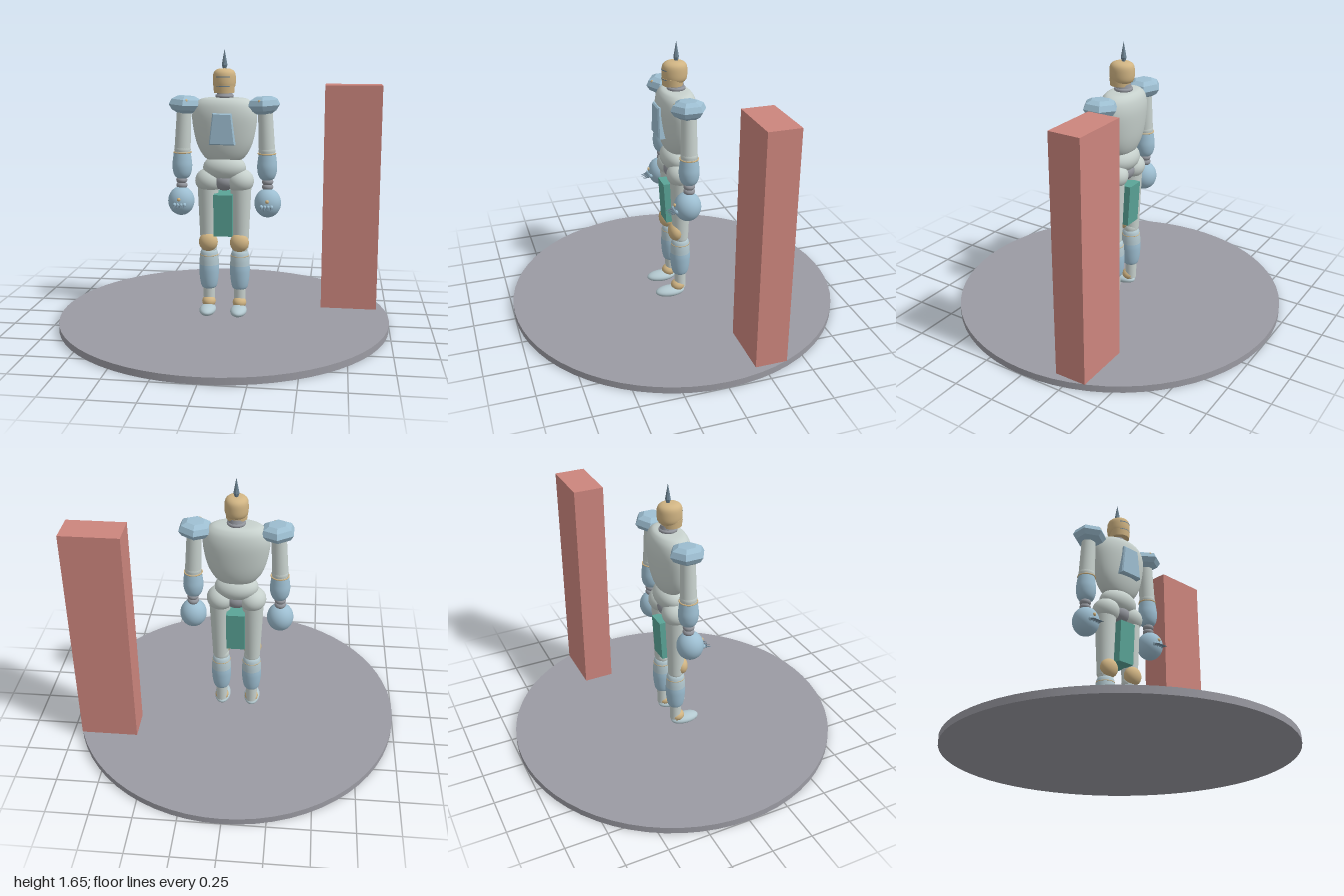
import * as THREE from 'three';
import { toCreasedNormals } from 'three/addons/utils/BufferGeometryUtils.js';

const material = (name, color) => {
  const m = new THREE.MeshStandardMaterial({ color });
  m.name = name;
  return m;
};

export function createModel() {
  const stone = material('stone grey', 0x9b9ba3);
  const red = material('brick red', 0xcc857d);
  const shell = material('pale shell', 0xc6d0cc);
  const blue = material('armour blue', 0x9dbed1);
  const paleBlue = material('pale blue', 0xb3c8cf);
  const gold = material('sand gold', 0xd0b483);
  const teal = material('teal', 0x5aa497);
  const joint = material('joint grey', 0x93969d);
  const slate = material('slate blue', 0x6d8392);

  const model = new THREE.Group();
  model.name = 'armouredFigure';

  const add = (name, geometry, mat, x, y, z, parent = model) => {
    const mesh = new THREE.Mesh(geometry, mat);
    mesh.name = name;
    mesh.position.set(x, y, z);
    parent.add(mesh);
    return mesh;
  };
  const ball = (rx, ry, rz) => new THREE.SphereGeometry(1, 28, 18).scale(rx, ry, rz);
  // Turned part from [radius, height] pairs, bottom to top, smoothed by a spline
  const turned = (pairs, depth = 1, sides = 28) => {
    const curve = new THREE.SplineCurve(pairs.map(([r, y]) => new THREE.Vector2(r, y)));
    const points = curve.getPoints(pairs.length * 4);
    points.forEach((p) => { p.x = Math.max(0, p.x); });
    return new THREE.LatheGeometry(points, sides).scale(1, 1, depth);
  };
  const faceted = (pairs, sides) => toCreasedNormals(
    new THREE.LatheGeometry(pairs.map(([r, y]) => new THREE.Vector2(r, y)), sides), 0.3);
  // Tapered block, with separate bottom and top sizes
  const taperedBox = (w0, d0, w1, d1, h) => {
    const g = new THREE.BoxGeometry(1, h, 1);
    const p = g.attributes.position;
    for (let i = 0; i < p.count; i++) {
      const top = p.getY(i) > 0;
      p.setX(i, p.getX(i) * (top ? w1 : w0));
      p.setZ(i, p.getZ(i) * (top ? d1 : d0));
    }
    g.computeVertexNormals();
    return g;
  };

  // Ground disc and standing block
  add('baseDisc', new THREE.CylinderGeometry(1, 1, 0.04, 64), stone, 0, 0.02, 0);
  add('standingBlock', new THREE.BoxGeometry(0.343, 1.39, 0.187), red, 0.76, 0.735, -0.278);

  // Trunk
  add('torso', turned([[0, 0.985], [0.09, 0.99], [0.13, 1.02], [0.163, 1.08], [0.184, 1.16],
    [0.195, 1.25], [0.183, 1.31], [0.155, 1.345], [0.11, 1.362], [0, 1.365]], 0.58, 36),
  shell, 0, 0, -0.022);
  add('abdomen', ball(0.13, 0.08, 0.09), shell, 0, 0.945, -0.02);
  add('pelvis', ball(0.075, 0.06, 0.07), joint, 0, 0.865, -0.02);
  add('loincloth', taperedBox(0.112, 0.145, 0.112, 0.178, 0.255), teal, 0, 0.663, -0.019);

  // Chest plate with a bevelled rim
  const plate = new THREE.Shape();
  plate.moveTo(-0.07, 1.1);
  plate.lineTo(0.07, 1.1);
  plate.lineTo(0.05, 1.272);
  plate.lineTo(-0.05, 1.272);
  plate.closePath();
  add('chestPlate', new THREE.ExtrudeGeometry(plate, {
    depth: 0.06, bevelEnabled: true, bevelThickness: 0.008, bevelSize: 0.007, bevelSegments: 1,
  }), blue, 0, 0, 0.036);

  // Neck and head
  add('neck', new THREE.CylinderGeometry(0.042, 0.055, 0.06, 28), joint, 0, 1.375, -0.025);
  add('neckRing', new THREE.TorusGeometry(0.044, 0.011, 10, 28).rotateX(Math.PI / 2),
    joint, 0, 1.372, -0.025);
  add('helmet', turned([[0, 1.405], [0.045, 1.41], [0.064, 1.43], [0.068, 1.47],
    [0.063, 1.51], [0.04, 1.53], [0, 1.535]], 1.1), gold, 0, 0, -0.015);
  add('jaw', new THREE.CylinderGeometry(0.064, 0.06, 0.045, 28), gold, 0, 1.415, -0.004);
  add('eyeSlit', new THREE.CylinderGeometry(0.07, 0.07, 0.006, 20, 1, true, -0.65, 1.3)
    .scale(1, 1, 1.1), slate, 0, 1.487, -0.016);
  add('mouthSlit', new THREE.CylinderGeometry(0.065, 0.065, 0.005, 20, 1, true, -0.7, 1.4),
    slate, 0, 1.433, -0.004);
  add('crestSpike', faceted([[0, 1.525], [0.009, 1.53], [0.017, 1.555], [0, 1.648]], 8),
    slate, 0, 0, -0.025);

  for (const [side, s] of [['left', 1], ['right', -1]]) {
    // Leg
    const leg = new THREE.Group();
    leg.name = side + 'Leg';
    leg.position.set(s * 0.095, 0, -0.022);
    model.add(leg);
    add('hip', ball(0.083, 0.075, 0.083), shell, 0, 0.865, 0, leg);
    add('thigh', new THREE.CylinderGeometry(0.065, 0.047, 0.4, 28), shell, s * 0.004, 0.65, 0, leg);
    add('kneeCap', ball(0.058, 0.058, 0.045), gold, 0, 0.49, 0.03, leg);
    add('kneeJoint', ball(0.048, 0.05, 0.045), shell, 0, 0.45, 0, leg);
    add('upperShin', turned([[0.06, 0.345], [0.058, 0.385], [0.051, 0.425], [0.035, 0.445]]),
      paleBlue, 0, 0, 0, leg);
    add('shinBand', new THREE.TorusGeometry(0.054, 0.003, 8, 28).rotateX(Math.PI / 2),
      gold, 0, 0.405, 0, leg);
    add('shin', turned([[0.03, 0.193], [0.046, 0.205], [0.056, 0.25], [0.061, 0.31],
      [0.06, 0.345]]), blue, 0, 0, 0, leg);
    add('ankle', new THREE.CylinderGeometry(0.036, 0.034, 0.12, 24), shell, 0, 0.155, 0, leg);
    add('ankleGuard', ball(0.042, 0.036, 0.044), gold, 0, 0.11, 0.013, leg);
    add('foot', ball(0.05, 0.031, 0.092), paleBlue, 0, 0.073, 0.065, leg);

    // Arm
    const arm = new THREE.Group();
    arm.name = side + 'Arm';
    arm.position.set(s * 0.255, 0, -0.02);
    model.add(arm);
    const pad = add('shoulderPad', faceted([[0, -0.05], [0.05, -0.05], [0.085, -0.03],
      [0.105, 0], [0.09, 0.032], [0.055, 0.05], [0, 0.052]], 6), blue, s * -0.02, 1.32, 0, arm);
    pad.rotation.z = s * 0.06;
    add('shoulderStud', ball(0.011, 0.011, 0.011), gold, s * -0.038, 1.346, 0.072, arm);
    const upper = add('upperArm', new THREE.CylinderGeometry(0.043, 0.049, 0.26, 24),
      shell, s * -0.006, 1.165, 0, arm);
    upper.rotation.z = s * 0.05;
    add('elbow', ball(0.05, 0.045, 0.05), shell, 0, 1.05, 0, arm);
    add('elbowBand', new THREE.TorusGeometry(0.052, 0.004, 8, 28).rotateX(Math.PI / 2),
      gold, 0, 1.033, 0, arm);
    add('forearm', turned([[0, 0.873], [0.035, 0.878], [0.053, 0.905], [0.06, 0.95],
      [0.056, 0.995], [0.051, 1.03]]), blue, 0.002 * s, 0, 0, arm);
    for (const y of [0.863, 0.832]) add('wrist', ball(0.034, 0.024, 0.034), joint, s * 0.006, y, 0, arm);

    // Hand with a stud and four claws
    add('hand', ball(0.08, 0.088, 0.08), blue, s * 0.008, 0.737, 0.01, arm);
    add('handStud', ball(0.011, 0.011, 0.011), gold, s * 0.01, 0.757, 0.086, arm);
    for (let i = 0; i < 4; i++) {
      const x = s * 0.006 + (i - 1.5) * 0.02;
      add('knuckle', ball(0.011, 0.013, 0.014), blue, x, 0.724, 0.083, arm);
      add('claw', new THREE.ConeGeometry(0.009, 0.06, 8).rotateX(Math.PI / 2 + 0.25),
        slate, x, 0.716, 0.108, arm);
    }
  }
  return model;
}
